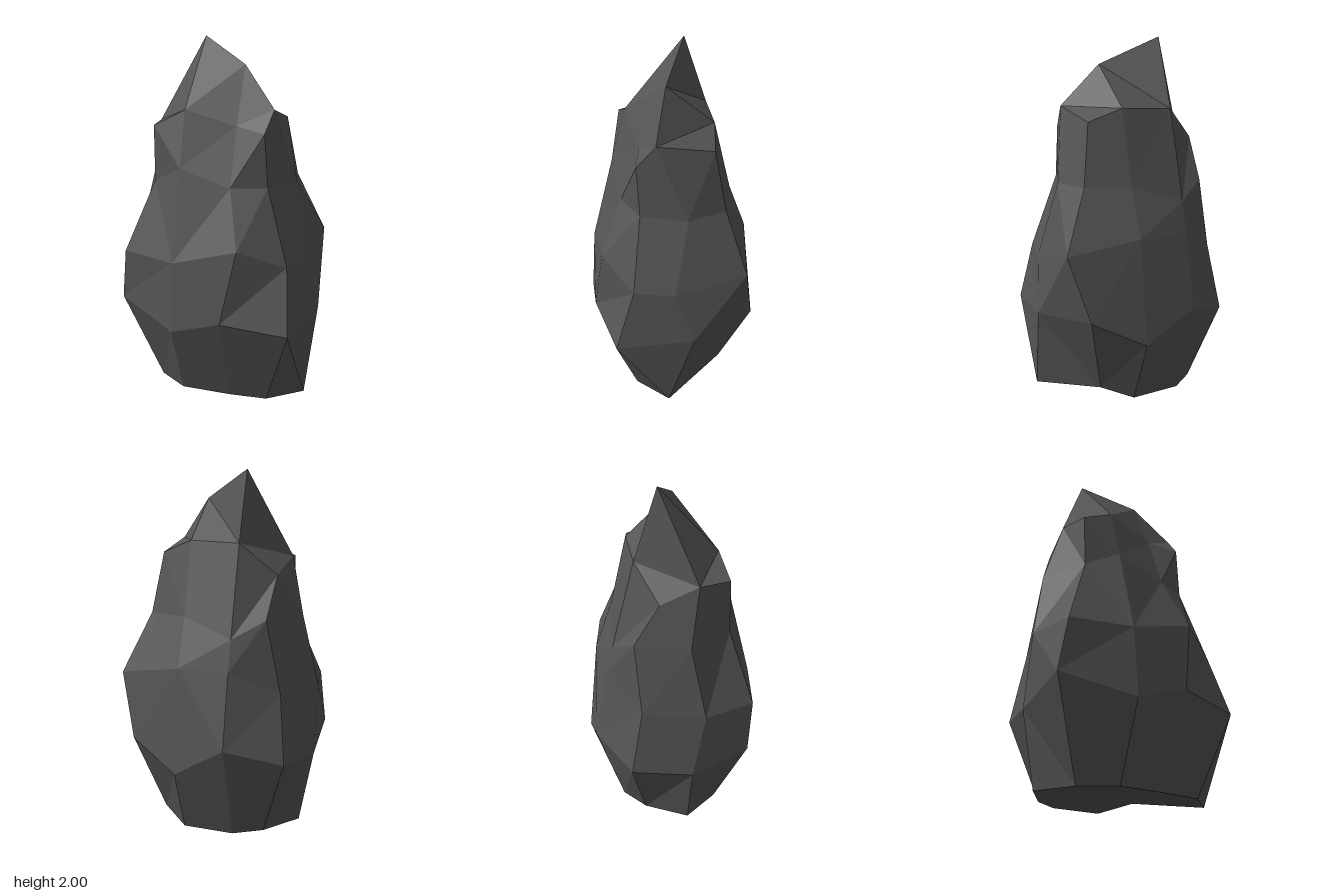
import * as THREE from 'three';

// Rings from the base up. Each runs: four front points (-x to +x),
// +x side, four back points (+x to -x), -x side.
const rings = [
  [[-0.35, 0, 0.19], [-0.17, 0, 0.31], [0.12, 0, 0.31], [0.33, 0, 0.29], [0.51, 0, 0.13],
    [0.28, 0.06, -0.24], [0.12, 0, -0.34], [-0.17, 0, -0.34], [-0.32, 0, -0.24], [-0.47, 0, -0.02]],
  [[-0.54, 0.52, 0.31], [-0.17, 0.41, 0.47], [0.12, 0.5, 0.49], [0.48, 0.45, 0.425], [0.55, 0.48, -0.01],
    [0.41, 0.51, -0.385], [0.12, 0.36, -0.475], [-0.17, 0.53, -0.495], [-0.465, 0.44, -0.35], [-0.55, 0.41, -0.02]],
  [[-0.5, 0.81, 0.34], [-0.17, 0.8, 0.44], [0.2, 0.9, 0.445], [0.44, 0.8, 0.31], [0.5, 0.79, 0.09],
    [0.51, 0.87, -0.31], [0.12, 0.94, -0.41], [-0.17, 0.94, -0.41], [-0.42, 0.81, -0.275], [-0.55, 0.81, 0.05]],
  [[-0.35, 1.21, 0.24], [-0.17, 1.3, 0.31], [0.12, 1.21, 0.31], [0.31, 1.21, 0.24], [0.41, 1.21, 0],
    [0.36, 1.21, -0.22], [0.12, 1.21, -0.31], [-0.17, 1.11, -0.37], [-0.34, 1.21, -0.29], [-0.47, 1.21, -0.015]],
  [[-0.355, 1.52, 0.23], [-0.17, 1.61, 0.225], [0.12, 1.53, 0.2], [0.29, 1.5, 0.25], [0.315, 1.62, 0.15],
    [0.305, 1.55, -0.165], [0.12, 1.62, -0.21], [-0.17, 1.61, -0.24], [-0.36, 1.44, -0.155], [-0.39, 1.53, 0.05]],
];
const peak = [[-0.17, 2, -0.11], [0.12, 1.85, 0.055]];
const base = [[-0.17, 0, 0], [0.12, 0, 0]];

export function createModel() {
  const stone = new THREE.MeshStandardMaterial({ color: 0x555555, flatShading: true });
  stone.name = 'dark grey stone';
  const positions = [];

  // Split each four-sided facet along its shorter diagonal
  const dist = (p, q) => Math.hypot(p[0] - q[0], p[1] - q[1], p[2] - q[2]);
  const quad = (a, b, c, d) => {
    const tris = dist(a, c) <= dist(b, d) ? [a, b, c, a, c, d] : [a, b, d, b, c, d];
    tris.forEach((p) => positions.push(...p));
  };

  // Sides
  for (let r = 0; r < rings.length - 1; r++) {
    const low = rings[r], high = rings[r + 1], n = low.length;
    for (let i = 0; i < n; i++) {
      const j = (i + 1) % n;
      quad(low[i], low[j], high[j], high[i]);
    }
  }

  // Six facets around two inner points close each end
  const cap = (ring, inner, flip) => {
    const p = [...ring, ...inner];
    const facets = [[0, 1, 10, 9], [1, 2, 11, 10], [2, 3, 4, 11], [11, 4, 5, 6], [10, 11, 6, 7], [9, 10, 7, 8]];
    for (const f of facets) {
      const corners = f.map((i) => p[i]);
      quad(...(flip ? corners.reverse() : corners));
    }
  };
  cap(rings[rings.length - 1], peak, false);
  cap(rings[0], base, true);

  const geometry = new THREE.BufferGeometry();
  geometry.setAttribute('position', new THREE.Float32BufferAttribute(positions, 3));
  geometry.computeVertexNormals();

  const rock = new THREE.Mesh(geometry, stone);
  rock.name = 'standingRock';
  const group = new THREE.Group();
  group.name = 'rock';
  group.add(rock);
  return group;
}
